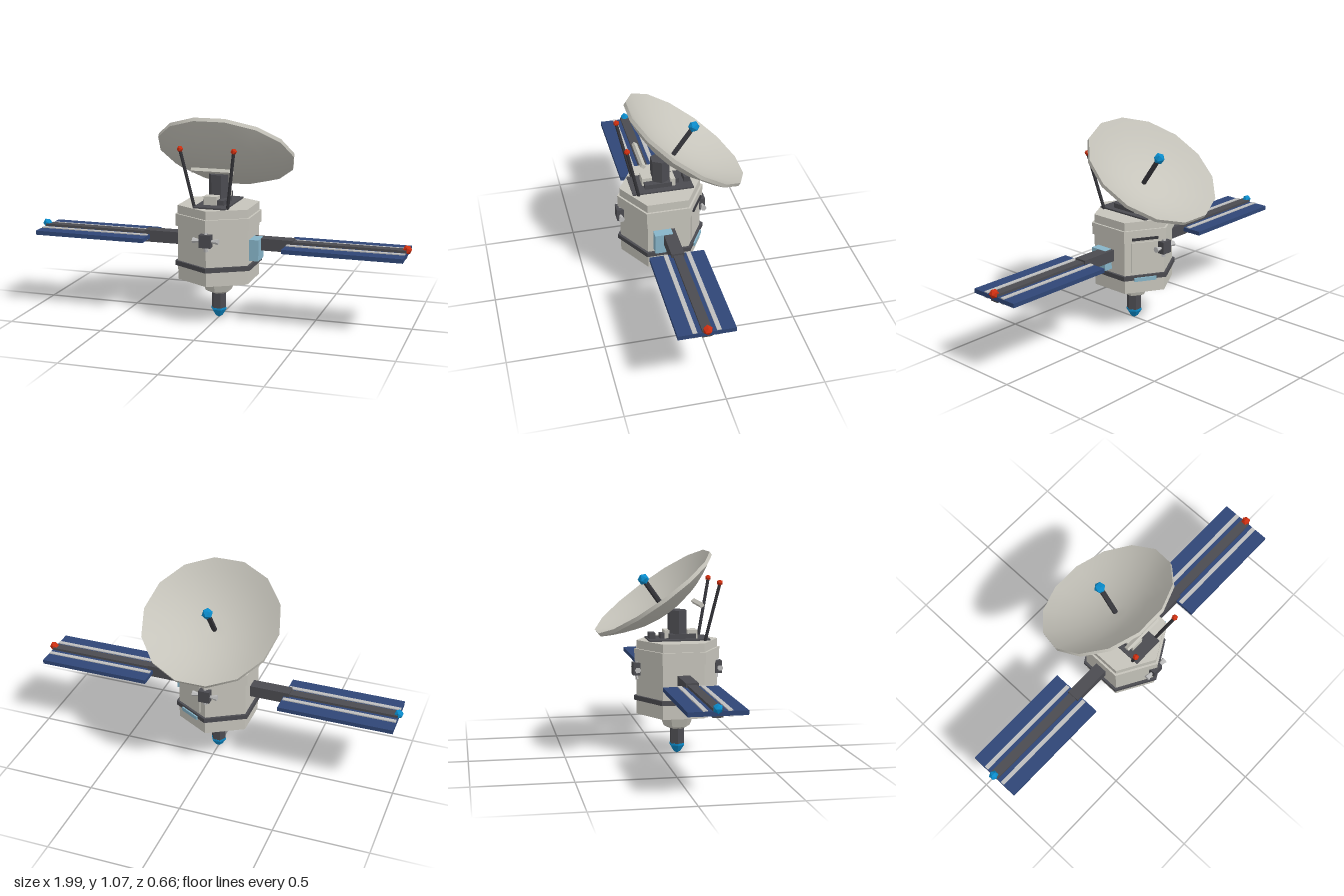
import * as THREE from 'three';

const mat = (name, color, extra = {}) => {
  const m = new THREE.MeshStandardMaterial({ color, ...extra });
  m.name = name;
  return m;
};

export function createModel() {
  const flat = { flatShading: true };
  const hull = mat('hull grey', 0xc6c4bb, flat);
  const dishGrey = mat('dish grey', 0xc6c4bb, { side: THREE.DoubleSide });
  const dark = mat('dark grey', 0x4b4b50, flat);
  const black = mat('charcoal', 0x36363b, flat);
  const navy = mat('solar navy', 0x2f4676, flat);
  const silver = mat('silver', 0xbdbdbd, flat);
  const glass = mat('pale blue', 0x86b4c8, flat);
  const blue = mat('bright blue', 0x0a8ccc, flat);
  const red = mat('red', 0xcf2f10, flat);

  const model = new THREE.Group();
  model.name = 'satellite';
  const AXIS = 0.095; // z of the body axis

  const add = (name, geo, material, x = 0, y = 0, z = 0, parent = model) => {
    const m = new THREE.Mesh(geo, material);
    m.name = name;
    m.position.set(x, y, z);
    parent.add(m);
    return m;
  };
  // box given by its limits on each axis
  const box = (name, material, [x0, x1], [y0, y1], [z0, z1], parent = model) =>
    add(name, new THREE.BoxGeometry(x1 - x0, y1 - y0, z1 - z0), material,
      (x0 + x1) / 2, (y0 + y1) / 2, (z0 + z1) / 2, parent);
  // hexagonal prism or frustum on the body axis
  const hex = (name, material, y0, y1, rBottom, rTop = rBottom, turn = 0) => {
    const m = add(name, new THREE.CylinderGeometry(rTop, rBottom, y1 - y0, 6), material, 0, (y0 + y1) / 2, AXIS);
    m.rotation.y = turn;
    return m;
  };
  // straight rod between two points
  const rod = (name, material, a, b, r0, r1 = r0, sides = 6, parent = model) => {
    const p = new THREE.Vector3(...a), q = new THREE.Vector3(...b), d = q.clone().sub(p);
    const m = add(name, new THREE.CylinderGeometry(r1, r0, d.length(), sides), material, 0, 0, 0, parent);
    m.position.copy(p).add(q).multiplyScalar(0.5);
    m.quaternion.setFromUnitVectors(new THREE.Vector3(0, 1, 0), d.normalize());
    return m;
  };

  // hexagonal body with bands
  hex('body', hull, 0.22, 0.61, 0.215);
  hex('upperBand', hull, 0.503, 0.566, 0.227);
  hex('belt', dark, 0.295, 0.319, 0.23);

  // tail cone, stem and cap
  hex('tailCone', hull, 0.15, 0.22, 0.07, 0.097);
  hex('tailConeEnd', hull, 0.135, 0.15, 0.038, 0.07);
  hex('tailStem', dark, 0.05, 0.142, 0.039, 0.039, Math.PI / 6);
  const cap = [[0, 0], [0.02, 0.012], [0.041, 0.045], [0.041, 0.055], [0, 0.055]].map(p => new THREE.Vector2(...p));
  add('tailCap', new THREE.LatheGeometry(cap, 6, Math.PI / 6), blue, 0, 0, AXIS);

  // roof equipment
  box('roofPlate', dark, [-0.085, 0.085], [0.608, 0.618], [-0.065, 0.255]);
  box('mastBase', dark, [-0.055, 0.055], [0.615, 0.643], [0.045, 0.185]);
  box('roofBoxFront', hull, [-0.05, 0.02], [0.618, 0.662], [0.14, 0.193]);
  box('roofBoxBack', hull, [-0.02, 0.05], [0.618, 0.66], [0.025, 0.05]);
  box('roofBlock', dark, [-0.03, 0.03], [0.615, 0.645], [0.002, 0.024]);
  box('roofBlockRear', dark, [-0.03, 0.03], [0.61, 0.648], [-0.057, -0.025]);
  hex('mast', dark, 0.61, 0.764, 0.052, 0.052, Math.PI / 6);
  const bar = add('crossBar', new THREE.BoxGeometry(0.22, 0.018, 0.022), hull, 0, 0.797, 0.204);
  bar.rotation.x = -0.617;

  // dish tilted up and to the back
  const dish = new THREE.Group();
  dish.name = 'dish';
  dish.position.set(0, 0.857, -0.034);
  dish.rotation.x = -0.617;
  model.add(dish);
  const R = 0.363, SIDES = 14, START = 0;
  const bowl = (depth, top) => [0.001, 0.07, 0.13, 0.19, 0.25, 0.31, R]
    .map(r => new THREE.Vector2(r, top - depth * (1 - (r / R) ** 2)));
  const turn = Math.PI / SIDES + START;
  add('dishOuter', new THREE.LatheGeometry(bowl(0.115, -0.01), SIDES, turn), dishGrey, 0, 0, 0, dish);
  add('dishInner', new THREE.LatheGeometry(bowl(0.11, 0.01), SIDES, turn), dishGrey, 0, 0, 0, dish);
  const rim = [new THREE.Vector2(R, -0.01), new THREE.Vector2(R, 0.01)];
  add('dishRim', new THREE.LatheGeometry(rim, SIDES, turn), dishGrey, 0, 0, 0, dish);
  rod('feedRod', black, [0, -0.11, 0], [0, 0.08, 0], 0.014, 0.014, 6, dish);
  add('feedBall', new THREE.IcosahedronGeometry(0.03, 0), blue, 0, 0.085, 0, dish);

  // solar wings, whip antennas and lights on both sides
  for (const s of [-1, 1]) {
    const span = (a, b) => (s > 0 ? [a, b] : [-b, -a]);
    const wing = new THREE.Group();
    wing.name = s > 0 ? 'leftWing' : 'rightWing';
    model.add(wing);
    box('wingArm', dark, span(0.17, 0.4), [0.385, 0.447], [0.062, 0.128], wing);
    box('solarPanel', navy, span(0.37, 0.977), [0.403, 0.425], [-0.047, 0.235], wing);
    box('wingSpine', dark, span(0.39, 0.975), [0.395, 0.438], [0.07, 0.118], wing);
    for (const z of [0.036, 0.152])
      box('panelStripe', silver, span(0.375, 0.975), [0.399, 0.43], [z - 0.011, z + 0.011], wing);
    add('tipLight', new THREE.IcosahedronGeometry(0.025, 0), s > 0 ? red : blue, s * 0.976, 0.437, 0.092, wing);

    rod('whipAntenna', black, [s * 0.088, 0.61, 0.226], [s * 0.139, 0.91, 0.29], 0.0085);
    add('antennaTip', new THREE.IcosahedronGeometry(0.0165, 0), red, s * 0.14, 0.916, 0.29);
  }

  // thruster clusters on the front and back corners
  for (const s of [-1, 1]) {
    const cluster = new THREE.Group();
    cluster.name = s > 0 ? 'frontThrusters' : 'backThrusters';
    cluster.position.set(0, 0.46, AXIS + s * 0.218);
    model.add(cluster);
    box('thrusterBlock', dark, [-0.03, 0.03], [-0.033, 0.033], [-0.018, 0.018], cluster);
    for (const [x, y] of [[1, 0], [-1, 0], [0, 1], [0, -1]])
      rod('thrusterNozzle', silver, [x * 0.024, y * 0.024, 0],
        [x * 0.068, y * 0.052, -s * 0.012 * Math.abs(y)], 0.006, 0.016, 6, cluster);
  }

  // side window box
  box('sideWindow', glass, [0.18, 0.235], [0.338, 0.448], [0.08, 0.174]);

  // fittings on the rear left face
  const face = new THREE.Group();
  face.name = 'rearFace';
  face.position.set(0, 0, AXIS);
  face.rotation.y = Math.PI * 5 / 6;
  model.add(face);
  box('accessPanel', hull, [-0.07, 0.07], [0.335, 0.498], [0.18, 0.193], face);
  box('vent', black, [-0.07, 0.07], [0.513, 0.526], [0.19, 0.204], face);
  box('sensorStrip', glass, [-0.06, 0.06], [0.289, 0.309], [0.19, 0.207], face);

  return model;
}
